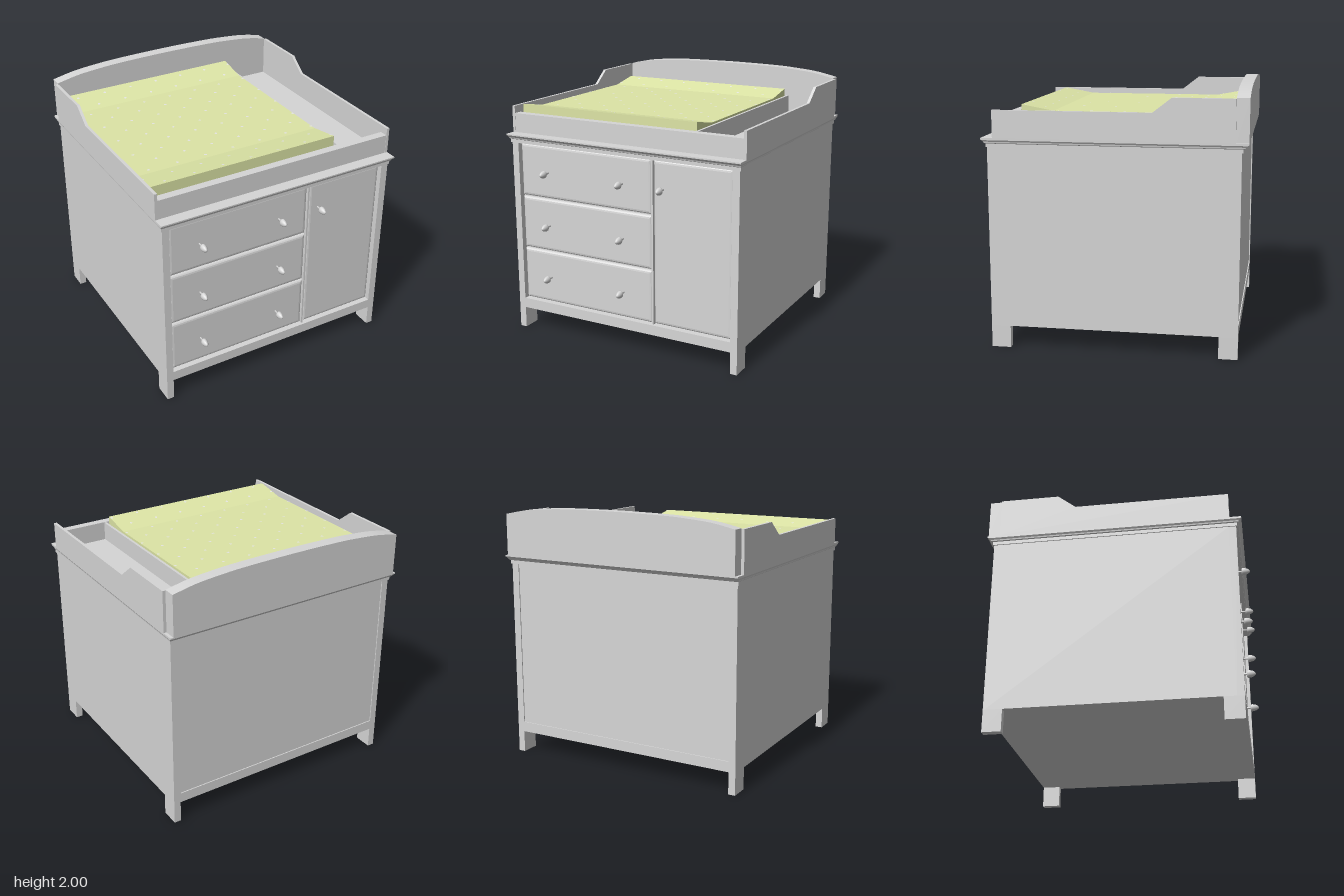
import * as THREE from 'three';
import { mergeGeometries } from 'three/addons/utils/BufferGeometryUtils.js';

export function createModel() {
  const model = new THREE.Group();
  const paint = new THREE.MeshStandardMaterial({ name: 'greyPaint', color: 0xd6d6d6 });
  const fabric = new THREE.MeshStandardMaterial({ name: 'greenFabric', color: 0xdde5a6 });
  const dotMat = new THREE.MeshStandardMaterial({ name: 'paleDots', color: 0xe6e6e2 });

  const add = (name, geo, mat = paint) => {
    const m = new THREE.Mesh(geo, mat);
    m.name = name;
    model.add(m);
    return m;
  };
  const box = (name, x0, x1, y0, y1, z0, z1) =>
    add(name, new THREE.BoxGeometry(x1 - x0, y1 - y0, z1 - z0)
      .translate((x0 + x1) / 2, (y0 + y1) / 2, (z0 + z1) / 2));
  const polygon = pts => new THREE.Shape(pts.map(p => new THREE.Vector2(...p)));
  const rect = (x0, x1, y0, y1) => polygon([[x0, y0], [x1, y0], [x1, y1], [x0, y1]]);
  // Extrudes a (z, y) profile across the width, from x1 down to x0
  const across = (name, pts, x0, x1, mat) =>
    add(name, new THREE.ExtrudeGeometry(polygon(pts), { depth: x1 - x0, bevelEnabled: false })
      .rotateY(-Math.PI / 2).translate(x1, 0, 0), mat);

  // Cabinet body, with a framed front and a shallow panelled back
  box('cabinetBody', -0.975, 0.975, 0.17, 1.54, -0.942, 0.865);
  const frame = (name, z, depth) => {
    const s = rect(-0.975, 0.975, 0.17, 1.545);
    s.holes.push(rect(-0.92, 0.917, 0.25, 1.538));
    add(name, new THREE.ExtrudeGeometry(s, { depth, bevelEnabled: false }).translate(0, 0, z));
  };
  frame('frontFrame', 0.865, 0.055);
  frame('backFrame', -0.95, 0.008);
  box('frontStile', 0.254, 0.268, 0.25, 1.538, 0.86, 0.9);

  // Legs
  for (const [side, x] of [['Right', -0.975], ['Left', 0.92]]) {
    box('front' + side + 'Leg', x, x + 0.055, 0, 0.17, 0.773, 0.92);
    box('back' + side + 'Leg', x, x + 0.055, 0, 0.17, -0.95, -0.807);
  }

  // Drawer fronts and door with rounded edges
  const panel = (name, x0, x1, y0, y1) => {
    const geo = new THREE.ExtrudeGeometry(rect(x0, x1, y0, y1), {
      depth: 0.02, bevelThickness: 0.018, bevelSize: 0.025, bevelOffset: -0.025, bevelSegments: 3,
    });
    add(name, geo.translate(0, 0, 0.854));
  };
  [0.255, 0.685, 1.115].forEach((y, i) => panel('drawerFront' + (i + 1), -0.917, 0.252, y, y + 0.42));
  panel('door', 0.27, 0.914, 0.255, 1.535);

  // Knobs: thin stem and domed head
  const knobProfile = [[0, 0], [0.008, 0], [0.008, 0.044], [0.022, 0.045], [0.028, 0.051],
    [0.029, 0.06], [0.027, 0.075], [0.022, 0.09], [0.014, 0.102], [0.007, 0.108], [0, 0.11]]
    .map(p => new THREE.Vector2(...p));
  const knobGeo = new THREE.LatheGeometry(knobProfile, 16).rotateX(Math.PI / 2).scale(0.8, 1, 1);
  const knob = (name, x, y) => add(name, knobGeo).position.set(x, y, 0.89);
  for (const y of [0.462, 0.892, 1.321]) for (const x of [-0.667, 0.004]) knob('drawerKnob', x, y);
  knob('doorKnob', 0.353, 1.321);

  // Stepped moulding lofted through rectangles: y, half width, front z, back z
  const rings = [
    [1.54, 0.983, 0.928, -0.959], [1.567, 0.983, 0.928, -0.959], [1.572, 0.99, 0.938, -0.972],
    [1.582, 0.992, 0.942, -0.98], [1.594, 1, 0.955, -0.99], [1.6, 1, 0.962, -1], [1.61, 1, 0.962, -1],
  ].map(([y, h, f, b]) => [[h, y, f], [h, y, b], [-h, y, b], [-h, y, f]]);
  const pos = [];
  const quad = (a, b, c, d) => pos.push(...a, ...b, ...c, ...a, ...c, ...d);
  for (let r = 0; r < rings.length - 1; r++)
    for (let i = 0; i < 4; i++) {
      const j = (i + 1) % 4;
      quad(rings[r][i], rings[r][j], rings[r + 1][j], rings[r + 1][i]);
    }
  quad(...rings[rings.length - 1]);
  quad(...[...rings[0]].reverse());
  const moulding = new THREE.BufferGeometry();
  moulding.setAttribute('position', new THREE.Float32BufferAttribute(pos, 3));
  moulding.computeVertexNormals();
  add('topMoulding', moulding);

  // Changing tray: shaped sides, front rail, divider
  const sideProfile = [[0.872, 1.61], [0.872, 1.817], [-0.31, 1.817], [-0.45, 1.926], [-0.905, 1.926], [-0.905, 1.61]];
  across('trayRightSide', sideProfile, -1, -0.977);
  across('trayLeftSide', sideProfile, 0.977, 1);
  box('trayFrontRail', -0.977, 0.977, 1.61, 1.76, 0.805, 0.87);
  box('trayDivider', 0.566, 0.586, 1.61, 1.757, -0.905, 0.805);

  // Arched back board set between the lines of the tray sides
  const arch = polygon([[-0.977, 1.61], [0.977, 1.61], [0.977, 1.931]]);
  arch.splineThru([[0.8, 1.966], [0.6, 1.985], [0.4, 1.995], [0, 2], [-0.4, 1.995], [-0.6, 1.985],
    [-0.8, 1.966], [-0.977, 1.931]].map(p => new THREE.Vector2(...p)));
  add('backBoard', new THREE.ExtrudeGeometry(arch, { depth: 0.095, bevelEnabled: false, curveSegments: 4 })
    .translate(0, 0, -1));

  // Contoured pad, gently raised at front and back
  const low = 1.77, high = 1.816;
  across('changingPad', [[0.767, 1.612], [0.767, high], [0.515, low], [-0.63, low], [-0.872, high], [-0.872, 1.612]],
    -0.973, 0.559, fabric);

  // Small staggered dots lying on the pad
  const dots = [];
  for (let row = 0; row < 13; row++) {
    const z = -0.81 + row * 0.1287;
    const slope = z > 0.515 ? (high - low) / 0.252 : z < -0.63 ? (low - high) / 0.242 : 0;
    const y = low + slope * (z - (z > 0 ? 0.515 : -0.63)) + 0.004;
    for (let x = row % 2 ? -0.958 : -0.85; x < 0.55; x += 0.233)
      dots.push(new THREE.CircleGeometry(0.011, 8)
        .rotateX(-Math.PI / 2 - Math.atan(slope)).translate(x, y, z));
  }
  add('padDots', mergeGeometries(dots), dotMat);

  return model;
}
